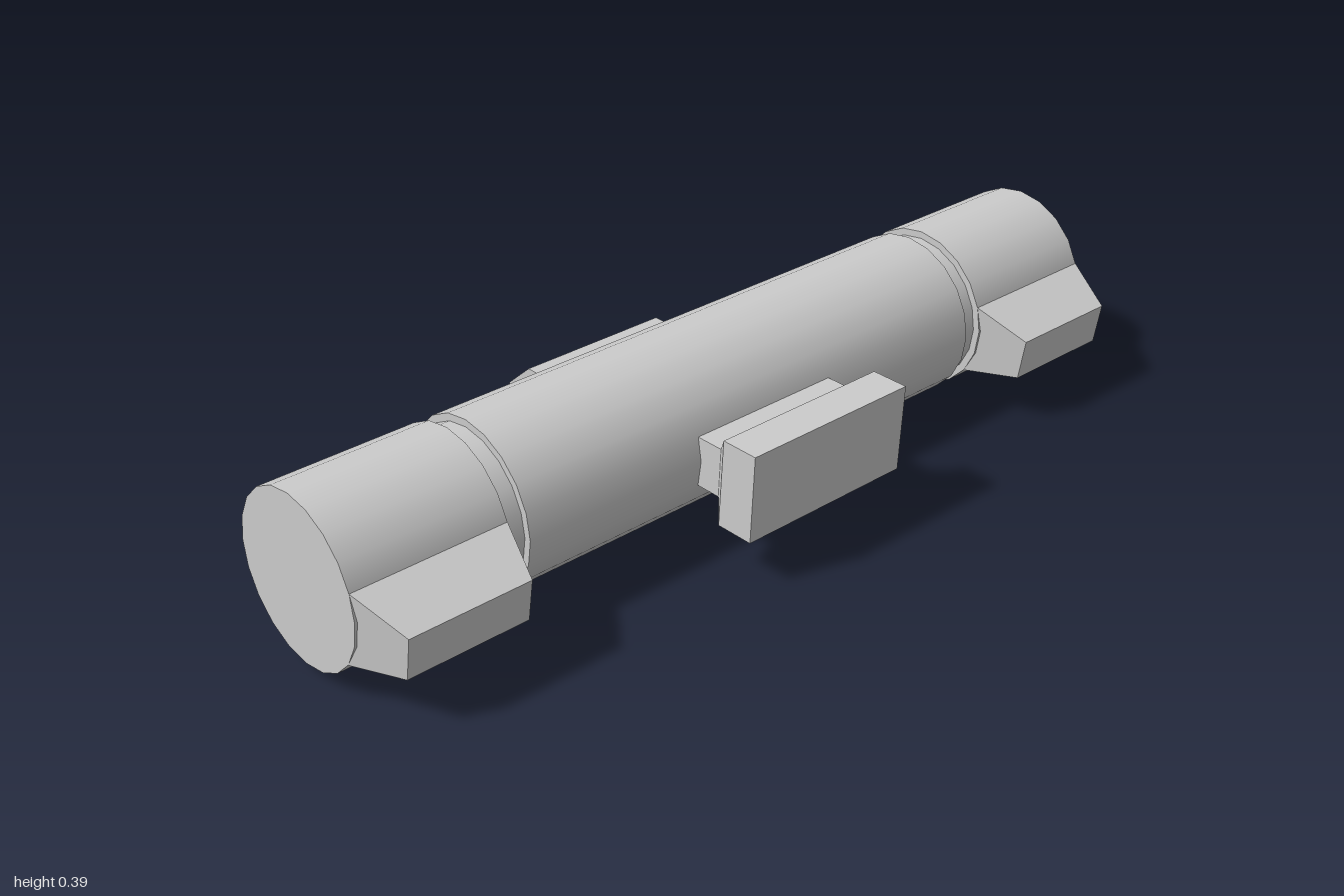
import * as THREE from 'three';
import { ConvexGeometry } from 'three/addons/geometries/ConvexGeometry.js';

const AXIS_Y = 0.208, AXIS_Z = 0.037, RADIUS = 0.183;

export function createModel() {
  const model = new THREE.Group();
  const grey = new THREE.MeshStandardMaterial({ color: 0xcccccc });

  function add(name, geometry, parent = model) {
    const mesh = new THREE.Mesh(geometry, grey);
    mesh.name = name;
    parent.add(mesh);
    return mesh;
  }

  // Drum section lying along x
  function drum(name, x0, x1, radius) {
    const geo = new THREE.CylinderGeometry(radius, radius, x1 - x0, 20);
    geo.rotateZ(Math.PI / 2).translate((x0 + x1) / 2, AXIS_Y, AXIS_Z);
    return add(name, geo);
  }

  // Solid joining side profiles, each given as [x0, x1, [[z, y], ...]]
  function loft(...sections) {
    const pts = [];
    for (const [x0, x1, profile] of sections)
      for (const [z, y] of profile)
        pts.push(new THREE.Vector3(x0, y, z), new THREE.Vector3(x1, y, z));
    return new ConvexGeometry(pts);
  }

  // Side profile [[z, y], ...] extruded from x0 to x1
  function slab(x0, x1, profile) {
    const shape = new THREE.Shape(profile.map(([z, y]) => new THREE.Vector2(-z, y)));
    const geo = new THREE.ExtrudeGeometry(shape, { depth: x1 - x0, bevelEnabled: false });
    return geo.rotateY(Math.PI / 2).translate(x0, 0, 0);
  }

  // Main barrel, with a groove, end drum and front lug on each side
  drum('barrel', -0.612, 0.612, RADIUS);
  for (const s of [-1, 1]) {
    const side = s > 0 ? 'left' : 'right';
    const span = (a, b) => (s > 0 ? [a, b] : [-b, -a]);
    drum(side + 'Groove', ...span(0.6, 0.665), 0.167);
    drum(side + 'EndDrum', ...span(0.655, 1), RADIUS);
    add(side + 'Lug', loft(
      [...span(0.655, 1), [[0.211, 0.265], [0.185, 0.1]]],
      [...span(0.69, 0.96), [[0.325, 0.21], [0.31, 0.116]]],
    ));
  }

  // Front pad on a flared neck
  const pad = new THREE.Group();
  pad.name = 'frontPad';
  model.add(pad);
  const padBack = [[0.313, 0.306], [0.3, 0.109]];
  const neckEnd = [[0.277, 0.261], [0.27, 0.15]];
  add('padPlate', loft([-0.21, 0.21, padBack], [-0.21, 0.21, [[0.4, 0.306], [0.389, 0.109]]]), pad);
  add('padFlare', loft([-0.21, 0.21, padBack], [-0.183, 0.183, neckEnd]), pad);
  add('padNeck', loft([-0.183, 0.183, neckEnd], [-0.183, 0.183, [[0.15, 0.261], [0.15, 0.15]]]), pad);

  // Rear block: full-profile cheeks and a core with a pocket cut in its underside
  const block = new THREE.Group();
  block.name = 'rearBlock';
  model.add(block);
  const upper = [[-0.02, 0.035], [0, 0.207], [-0.145, 0.207], [-0.18, 0.202],
    [-0.328, 0.202], [-0.4, 0.14], [-0.387, 0.03], [-0.287, 0]].reverse();
  const front = [-0.037, 0];
  const pocket = [[-0.25, 0], [-0.25, 0.05], [-0.075, 0.05], [-0.075, 0]];
  const full = [front, ...upper];
  const notched = [front, ...pocket.slice().reverse(), ...upper];
  add('rightCheek', slab(-0.183, -0.135, full), block);
  add('leftCheek', slab(0.135, 0.183, full), block);
  add('blockCore', slab(-0.135, 0.135, notched), block);

  return model;
}
